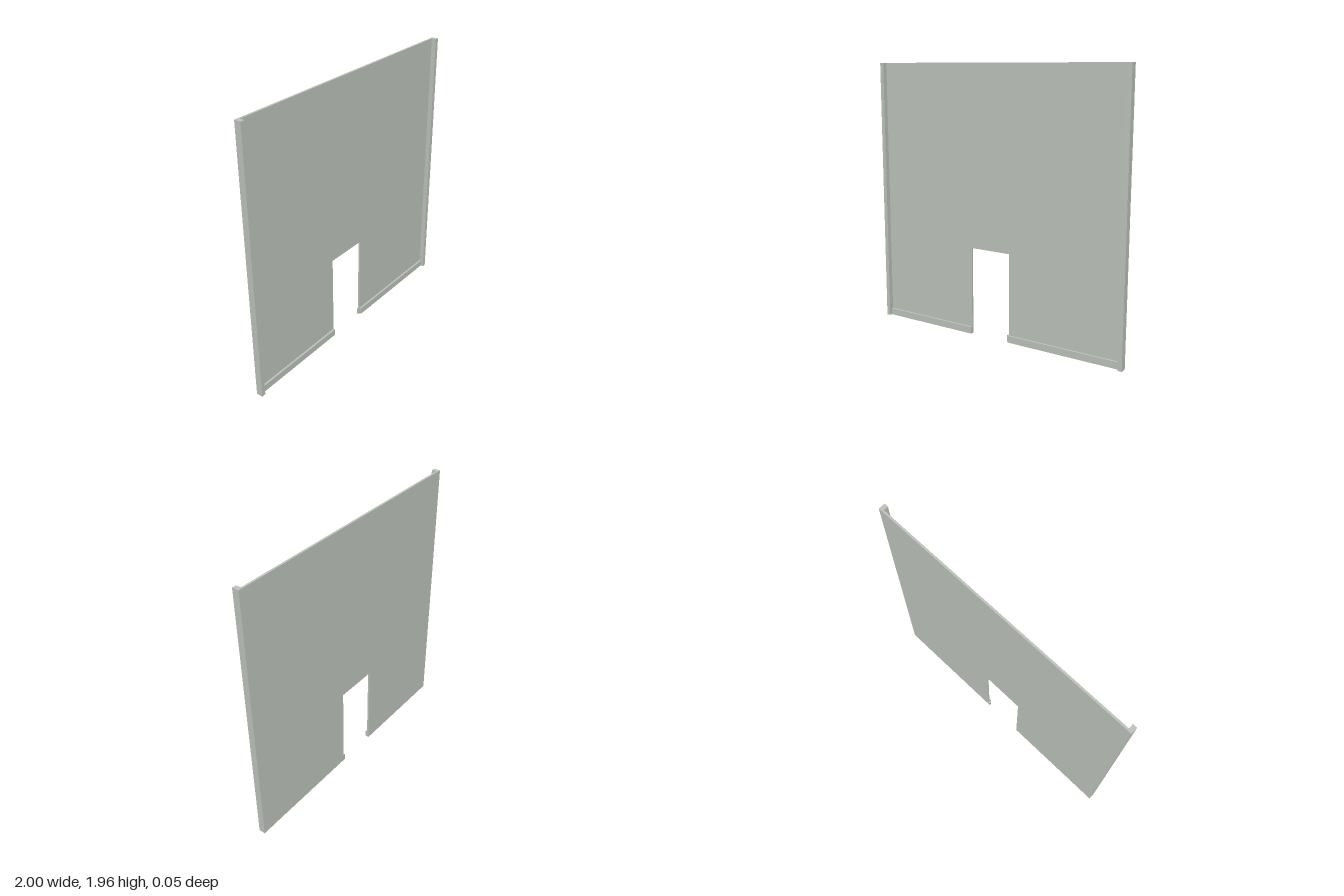
import * as THREE from 'three';

export function createModel() {
  const group = new THREE.Group();
  group.name = 'wallPanel';
  const wall = new THREE.MeshStandardMaterial({ color: 0xbcc2bb });
  wall.name = 'paleGreyGreen';

  const H = 1.955, BACK = -0.024, FACE = -0.01, FRONT = 0.024;
  const doorL = -0.2, doorR = 0.118, doorTop = 0.645;

  // Box given by its minimum and maximum corners
  const box = (name, x0, x1, y0, y1, z0, z1) => {
    const mesh = new THREE.Mesh(new THREE.BoxGeometry(x1 - x0, y1 - y0, z1 - z0), wall);
    mesh.position.set((x0 + x1) / 2, (y0 + y1) / 2, (z0 + z1) / 2);
    mesh.name = name;
    group.add(mesh);
  };

  // Thin wall sheet with the doorway cut out of its lower edge
  const outline = new THREE.Shape([
    [-1, 0], [doorL, 0], [doorL, doorTop], [doorR, doorTop],
    [doorR, 0], [1, 0], [1, H], [-1, H],
  ].map(([x, y]) => new THREE.Vector2(x, y)));
  const sheet = new THREE.Mesh(
    new THREE.ExtrudeGeometry(outline, { depth: FACE - BACK, bevelEnabled: false }), wall);
  sheet.position.z = BACK;
  sheet.name = 'wallSheet';
  group.add(sheet);

  // Edge posts on both sides
  box('rightPost', -1, -0.97, 0, H, FACE, FRONT);
  box('leftPost', 0.97, 1, 0, H, FACE, FRONT);

  // Skirting boards, with a short return into the doorway
  box('rightSkirting', -0.97, doorL, 0, 0.05, FACE, 0.004);
  box('leftSkirting', doorR, 0.97, 0, 0.05, FACE, 0.004);
  box('skirtingReturn', 0.104, doorR, 0, 0.05, BACK, FACE);

  return group;
}
